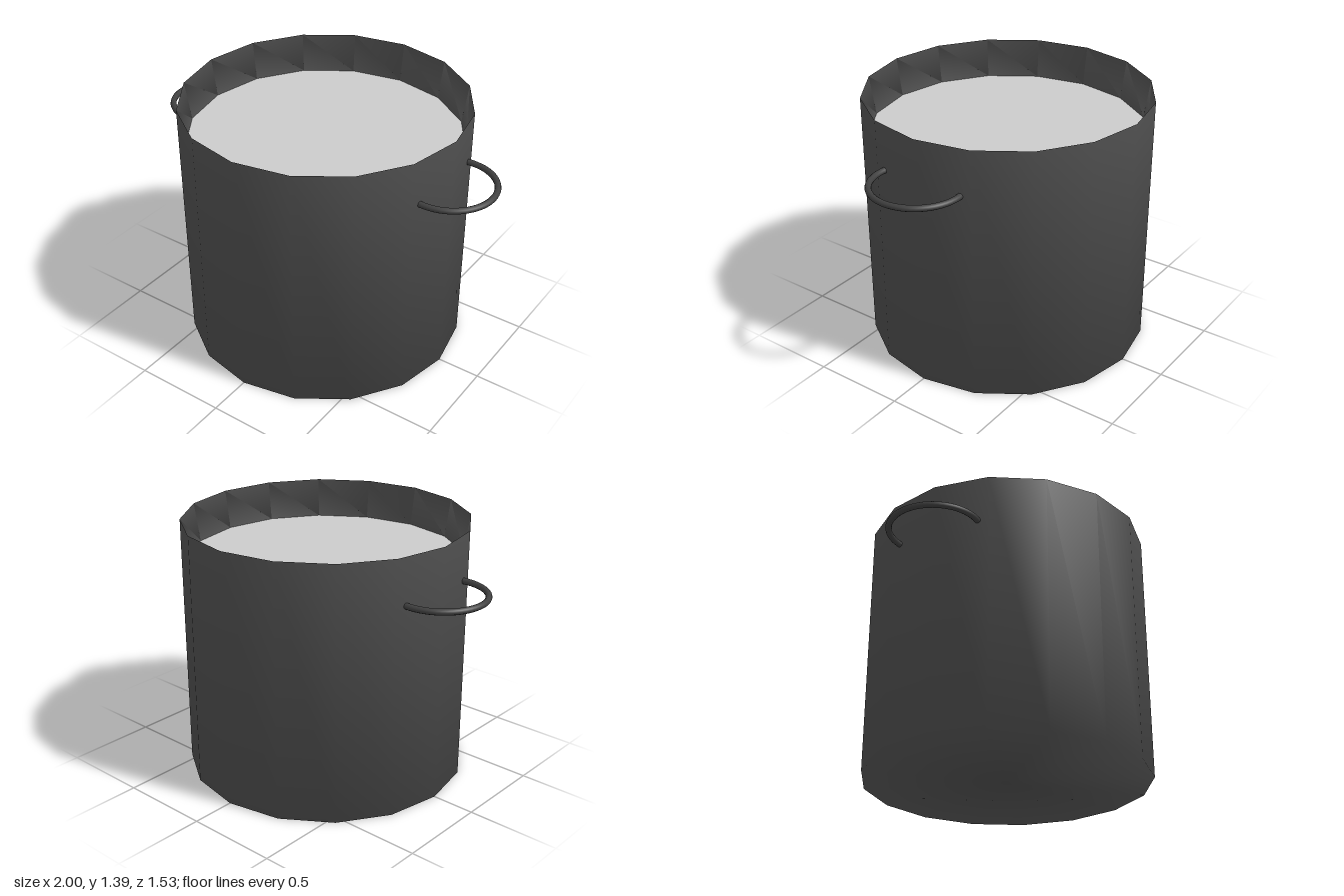
import * as THREE from 'three';

const SIDES = 16;
const RADIUS = 0.765;
const HEIGHT = 1.39;
const FILL_RADIUS = 0.733;
const FILL_Y = 1.18;

export function createModel() {
  const model = new THREE.Group();
  model.name = 'cookingPot';

  const potMaterial = new THREE.MeshStandardMaterial({ color: 0x505050, side: THREE.DoubleSide });
  const handleMaterial = new THREE.MeshStandardMaterial({ color: 0x404040 });
  const fillMaterial = new THREE.MeshStandardMaterial({ color: 0xcccccc });

  function add(name, geometry, material) {
    const mesh = new THREE.Mesh(geometry, material);
    mesh.name = name;
    model.add(mesh);
    return mesh;
  }

  // Base, outer wall and the inner lip down to the contents
  const profile = [
    [0, 0], [RADIUS, 0], [RADIUS, HEIGHT], [FILL_RADIUS, FILL_Y],
  ].map(([x, y]) => new THREE.Vector2(x, y));
  add('potBody', new THREE.LatheGeometry(profile, SIDES), potMaterial);

  // Flat surface of the contents
  const fill = add('contents', new THREE.CircleGeometry(FILL_RADIUS, SIDES), fillMaterial);
  fill.rotation.x = -Math.PI / 2;
  fill.position.y = FILL_Y;

  // Ring handles, slightly more than half a circle, ending at the wall
  const ringRadius = 0.238, wire = 0.0165, extra = 0.125;
  const arc = Math.PI + 2 * extra;
  for (const [name, side] of [['leftHandle', 1], ['rightHandle', -1]]) {
    const geometry = new THREE.TorusGeometry(ringRadius, wire, 10, 32, arc);
    geometry.rotateZ(-arc / 2);
    geometry.rotateX(Math.PI / 2);
    if (side < 0) geometry.rotateY(Math.PI);
    add(name, geometry, handleMaterial).position.set(side * (1 - ringRadius - wire), 1.14, 0);
  }

  return model;
}
